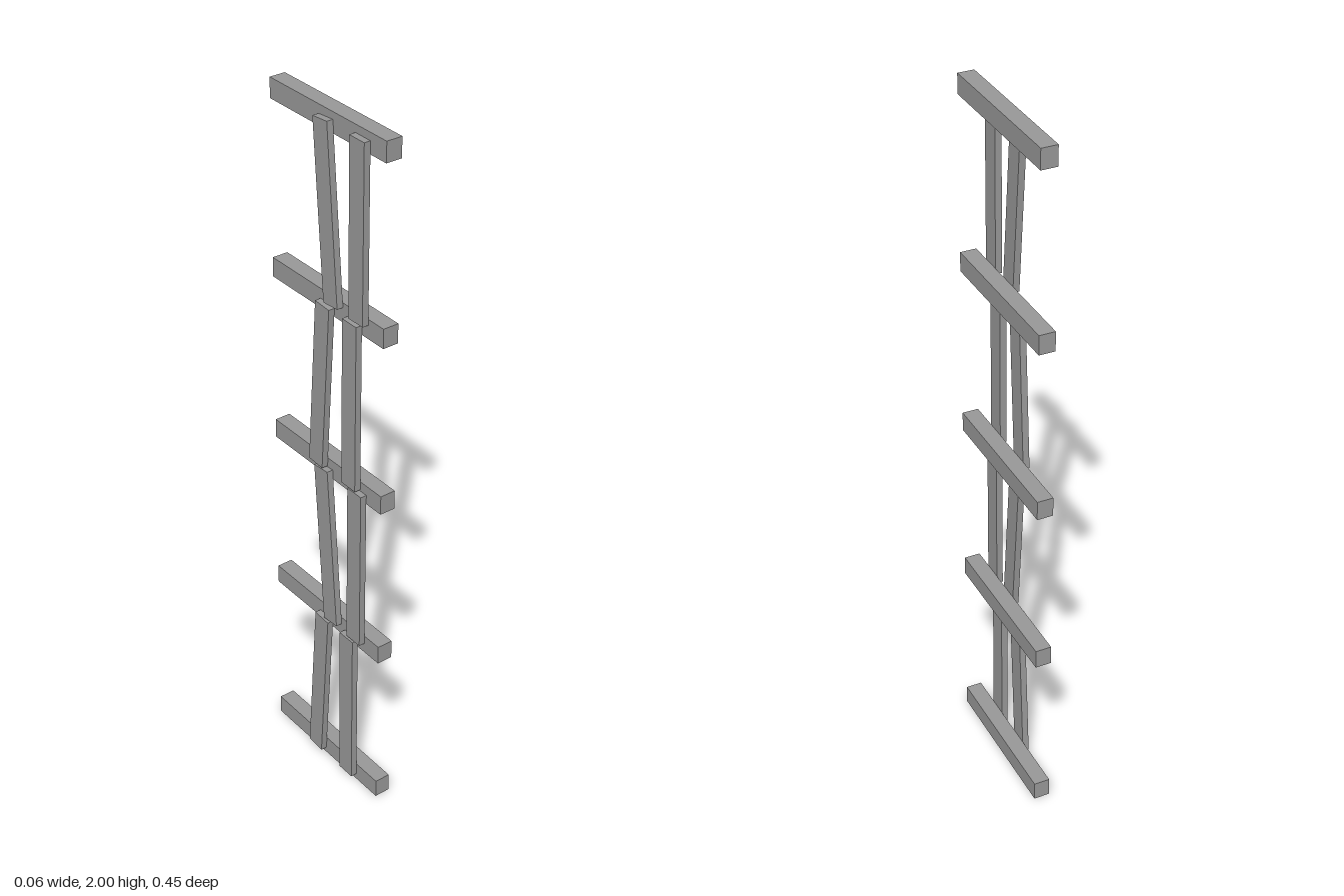
import * as THREE from 'three';

export function createModel() {
  const group = new THREE.Group();
  const material = new THREE.MeshStandardMaterial({ color: 0x999999 });

  const box = (name, size, position, tilt = 0) => {
    const mesh = new THREE.Mesh(new THREE.BoxGeometry(...size), material);
    mesh.name = name;
    mesh.position.set(...position);
    mesh.rotation.x = tilt;
    group.add(mesh);
  };

  // Five horizontal battens, bottom to top
  [0.0275, 0.508, 0.996, 1.484, 1.9725].forEach((y, i) => {
    box('batten' + (i + 1), [0.045, 0.055, 0.452], [0.0085, y, 0]);
  });

  // Thin slats on the -x side, one straight and one leaning per bay (bottom to top):
  // centre y, straight slat z, leaning slat z, z shift of the leaning slat from bottom to top
  const length = 0.484;
  const bays = [
    [0.26, 0.109, -0.016, 0.031],
    [0.753, 0.139, 0.018, -0.041],
    [1.241, 0.114, -0.01, 0.029],
    [1.737, 0.139, 0.018, -0.041],
  ];
  bays.forEach(([y, straightZ, leaningZ, shift], i) => {
    const size = [0.018, length, 0.056];
    box('straightSlat' + (i + 1), size, [-0.023, y, straightZ]);
    box('leaningSlat' + (i + 1), size, [-0.023, y, leaningZ], Math.asin(shift / length));
  });

  return group;
}
